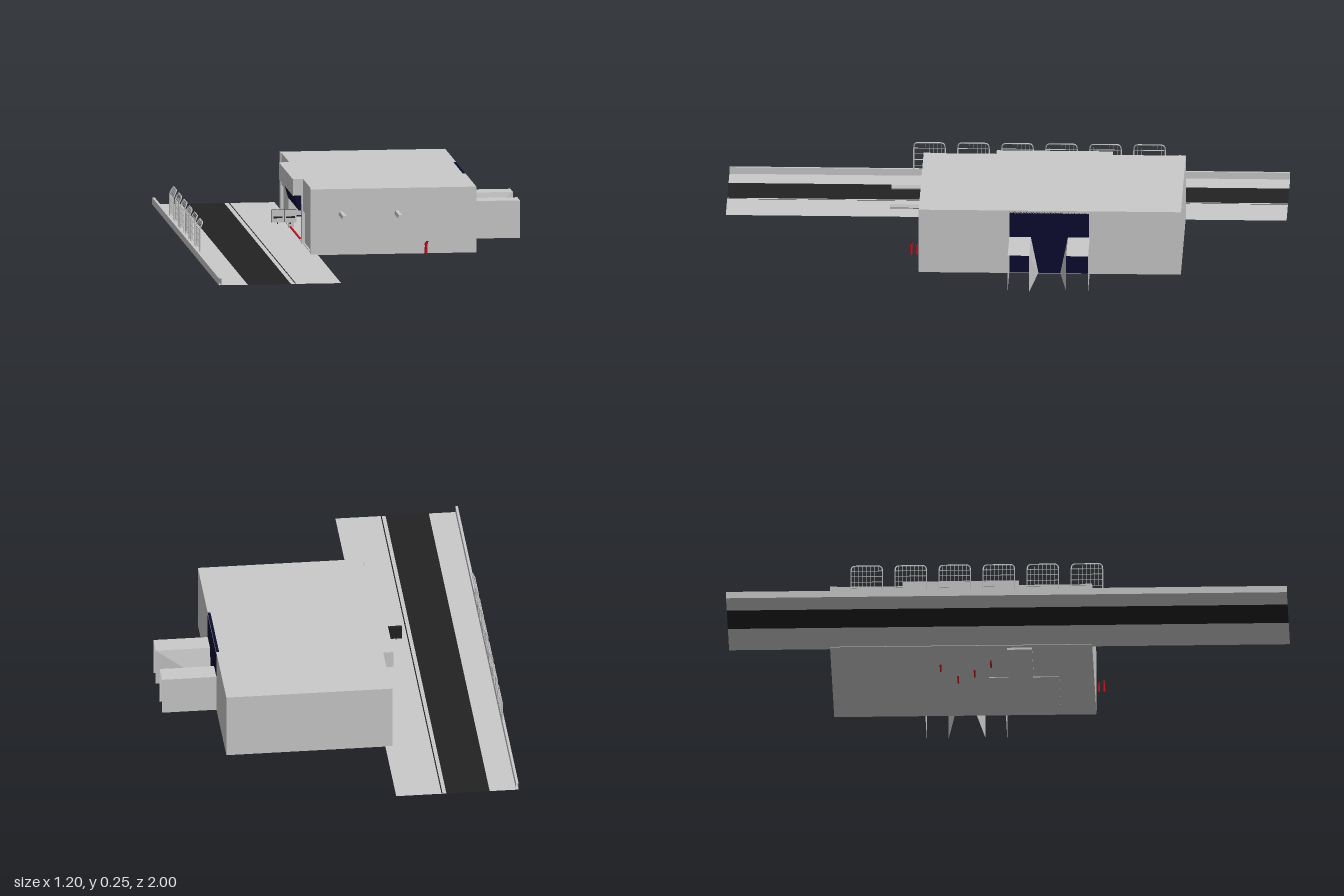
import * as THREE from 'three';

const mat = (name, color) => {
  const m = new THREE.MeshStandardMaterial({ color, side: THREE.DoubleSide });
  m.name = name;
  return m;
};

export function createModel() {
  const root = new THREE.Group();
  root.name = 'stationBuilding';
  const grey = mat('lightGrey', 0xcacaca);
  const dark = mat('asphalt', 0x222222);
  const navy = mat('navy', 0x0c0c30);
  const red = mat('red', 0xd01020);

  const add = (name, geo, m, parent = root) => {
    const mesh = new THREE.Mesh(geo, m);
    mesh.name = name;
    parent.add(mesh);
    return mesh;
  };
  const box = (name, m, x0, x1, y0, y1, z0, z1, parent = root) => {
    const mesh = add(name, new THREE.BoxGeometry(x1 - x0, y1 - y0, z1 - z0), m, parent);
    mesh.position.set((x0 + x1) / 2, (y0 + y1) / 2, (z0 + z1) / 2);
    return mesh;
  };
  // Ruled strip between two polylines with equal point counts
  const strip = (name, m, a, b, parent = root) => {
    const pos = [], idx = [];
    a.forEach((p, i) => pos.push(...p, ...b[i]));
    for (let i = 0; i < a.length - 1; i++) {
      const k = 2 * i;
      idx.push(k, k + 1, k + 2, k + 1, k + 3, k + 2);
    }
    let g = new THREE.BufferGeometry();
    g.setAttribute('position', new THREE.Float32BufferAttribute(pos, 3));
    g.setIndex(idx);
    g = g.toNonIndexed();
    g.computeVertexNormals();
    return add(name, g, m, parent);
  };
  // Profile in x and y swept along z, open at the ends
  const sweep = (name, m, profile, z0, z1, parent) =>
    strip(name, m, profile.map(([x, y]) => [x, y, z1]), profile.map(([x, y]) => [x, y, z0]), parent);

  // Street: verge, carriageway, pavement and raised kerb
  const Y = 0.01;
  sweep('verge', grey, [[-0.595, Y], [-0.5, Y]], -1, 1);
  sweep('carriageway', dark, [[-0.5, Y], [-0.345, Y]], -1, 1);
  sweep('pavement', grey, [[-0.345, Y], [-0.165, Y]], -1, 1);
  sweep('pavementEdge', dark, [[-0.331, Y + 0.002], [-0.327, Y + 0.002]], -1, 1);
  sweep('kerb', grey, [[-0.604, Y], [-0.604, 0.035], [-0.595, 0.035], [-0.595, Y], [-0.604, Y]], -1, 1);

  // Building shell
  const T = 0.245, ZB = -0.64, ZF = 0.295, XL = -0.19, XR = 0.405, w = 0.01;
  box('floor', grey, -0.185, XR - 0.001, 0.008, 0.013, ZB + 0.001, ZF - 0.001);
  box('roof', grey, -0.185, XR, T - w, T, ZB, ZF);
  box('frontWall', grey, XL, XR, Y, T, ZF - w, ZF);
  box('backWall', grey, XL, XR, Y, T, ZB, ZB + w);
  box('sideWallFront', grey, XR - w, XR, Y, T, -0.028, ZF - w);
  box('sideWallBack', grey, XR - w, XR, Y, T, ZB + w, -0.312);
  box('navyWall', navy, XR - w, XR, Y, T, -0.312, -0.028);
  box('underSlabLong', grey, -0.165, 0.075, 0, 0.009, -0.01, 0.08);
  box('underSlabWide', grey, 0.08, 0.37, 0.005, 0.009, -0.08, 0.17);

  // Street facade: corner piers, upper walls and recessed lower panels
  for (const [z0, z1, pierZ0, pierZ1] of [[ZB + w, -0.38, ZB, -0.615], [0.035, ZF - w, 0.27, ZF]]) {
    box('cornerPier', grey, XL, -0.175, Y, T, pierZ0, pierZ1);
    box('facadeUpper', grey, -0.186, -0.175, 0.13, T, z0, z1);
    box('facadePanel', grey, -0.179, -0.17, Y, 0.13, z0, z1);
  }

  // Entrance canopy, sloping fascia, posts and threshold
  box('canopy', grey, -0.223, -0.175, 0.185, T, -0.38, 0.035);
  for (const z of [-0.38, 0.023]) box('entrancePier', grey, XL, -0.17, Y, 0.185, z, z + 0.012);
  const fascia = new THREE.Shape([[-0.214, 0.178], [-0.2, 0.13], [-0.192, 0.13], [-0.192, 0.185], [-0.208, 0.185]]
    .map(([x, y]) => new THREE.Vector2(x, y)));
  add('fascia', new THREE.ExtrudeGeometry(fascia, { depth: 0.33, bevelEnabled: false }), navy).position.z = -0.3;
  box('entrancePost', grey, -0.18, -0.165, Y, 0.14, -0.075, -0.06);
  box('navyPost', navy, -0.18, -0.165, Y, 0.14, -0.058, -0.04);
  box('thresholdLine', red, -0.187, -0.181, 0.013, 0.017, -0.365, -0.07);

  // Entrance hall fittings
  box('ticketCounter', navy, 0.0, 0.03, 0.013, 0.075, -0.3, -0.08);
  for (const [x, z] of [[0.1, -0.19], [0.05, -0.13], [-0.03, -0.07], [0.0, -0.25]])
    box('redBarrier', red, x - 0.03, x + 0.03, 0.007, 0.045, z - 0.003, z + 0.003);

  // Projecting double sign by the entrance
  const sign = new THREE.Group();
  sign.name = 'projectingSign';
  root.add(sign);
  box('signArm', dark, -0.295, -0.18, 0.105, 0.109, -0.004, 0.002, sign);
  for (const x of [-0.294, -0.249]) {
    box('signBody', dark, x, x + 0.043, 0.085, 0.131, -0.008, 0.004, sign);
    box('signFace', grey, x, x + 0.043, 0.085, 0.131, 0.004, 0.006, sign);
    box('signStripe', dark, x + 0.006, x + 0.037, 0.101, 0.107, 0.006, 0.008, sign);
    box('signFoot', dark, x + 0.019, x + 0.023, 0.079, 0.085, -0.004, 0.0, sign);
  }

  // Two open-ended side wings with a leaning inner wall
  for (const [outer, inner, foot] of [[-0.028, -0.105, -0.132], [-0.315, -0.237, -0.21]]) {
    const h = 0.145;
    strip('wing', grey,
      [[XR, Y, outer], [XR, h, outer], [XR, h, inner], [XR, Y, foot]],
      [[0.6, Y, outer], [0.6, h, outer], [0.6, h, inner], [0.6, Y, inner]]);
  }

  // Five-sided outlet pipes on the front wall
  for (const x of [-0.08, 0.12]) {
    const g = new THREE.CylinderGeometry(0.0105, 0.0105, 0.112, 5).toNonIndexed();
    g.computeVertexNormals();
    g.rotateX(Math.PI / 2);
    add('outletPipe', g, grey).position.set(x, 0.155, 0.35);
  }

  // Red standpipes beside the front wall
  for (const [z, h] of [[0.308, 0.036], [0.327, 0.042]]) {
    add('standpipe', new THREE.CylinderGeometry(0.0035, 0.0045, h, 8), red).position.set(0.222, Y + h / 2, z);
    add('standpipeHead', new THREE.SphereGeometry(0.0055, 8, 6), red).position.set(0.222, Y + h - 0.003, z);
    box('standpipeValve', dark, 0.22, 0.229, Y + h + 0.001, Y + h + 0.004, z - 0.002, z + 0.002);
  }

  // Roadside fence: six leaning panels with bent frames and wire mesh
  const X = -0.594;
  for (let i = 0; i < 6; i++) {
    const panel = new THREE.Group();
    panel.name = 'fencePanel';
    const z0 = -0.555 + i * 0.157, z1 = z0 + 0.113;
    const pts = [[X, 0.035, z0], [X, 0.115, z0], [X + 0.009, 0.134, z0 + 0.003], [X + 0.012, 0.14, z0 + 0.012],
      [X + 0.012, 0.14, z1 - 0.012], [X + 0.009, 0.134, z1 - 0.003], [X, 0.115, z1], [X, 0.035, z1]]
      .map(p => new THREE.Vector3(...p));
    const path = new THREE.CurvePath();
    for (let k = 0; k < pts.length - 1; k++) path.add(new THREE.LineCurve3(pts[k], pts[k + 1]));
    add('fenceFrame', new THREE.TubeGeometry(path, 48, 0.0025, 5), grey, panel);
    for (const y of [0.05, 0.072, 0.094, 0.115])
      box('fenceRail', grey, X - 0.001, X + 0.001, y - 0.001, y + 0.001, z0, z1, panel);
    for (let k = 1; k < 8; k++) {
      const z = z0 + (z1 - z0) * k / 8;
      box('fenceWire', grey, X - 0.0006, X + 0.0006, 0.05, 0.115, z - 0.0006, z + 0.0006, panel);
      const tip = box('fenceWireTip', grey, X + 0.0054, X + 0.0066, 0.1138, 0.1412, z - 0.0006, z + 0.0006, panel);
      tip.rotation.z = -0.447;
    }
    root.add(panel);
  }
  return root;
}
